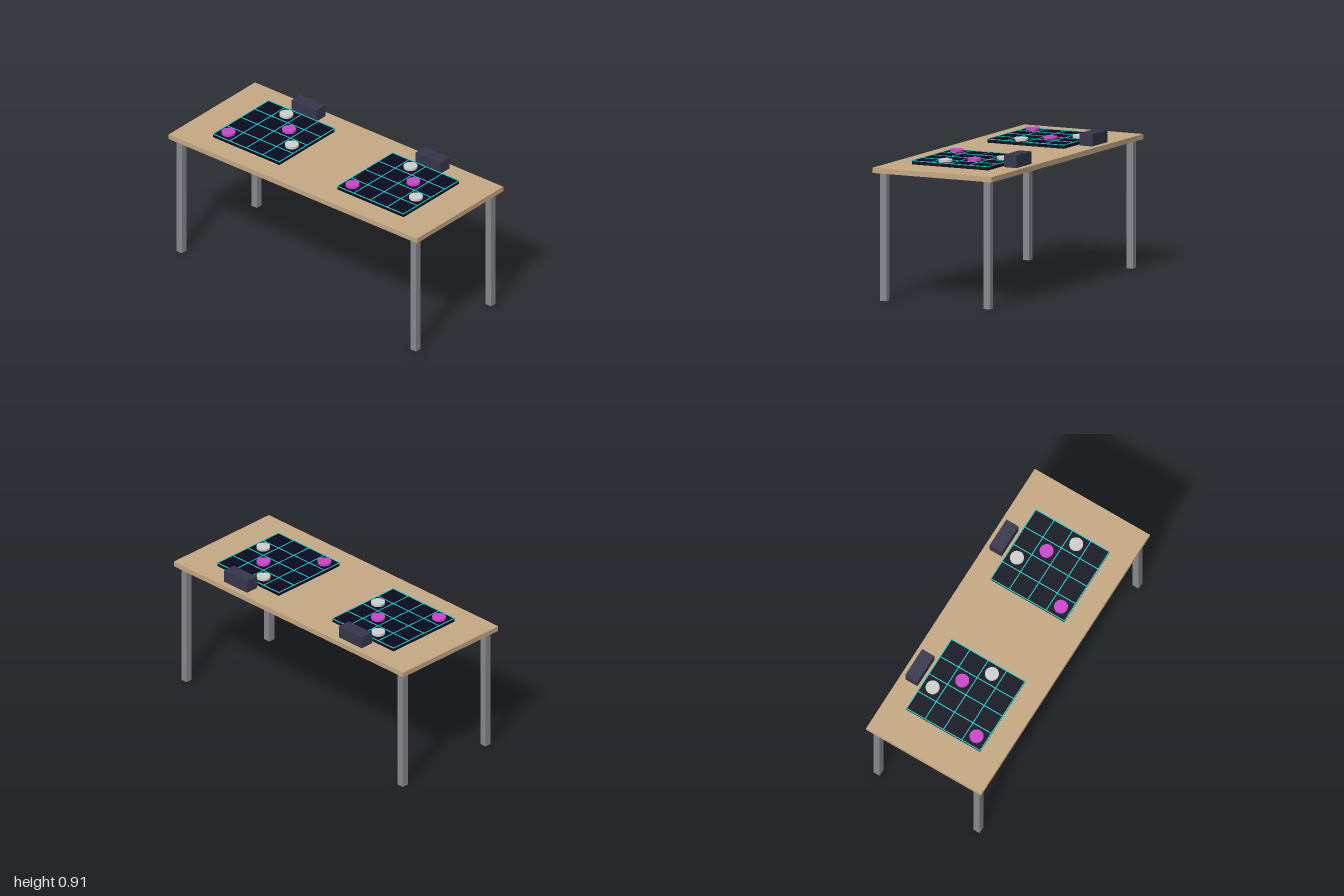
import * as THREE from 'three';

const mat = (name, color) => {
  const m = new THREE.MeshStandardMaterial({ color });
  m.name = name;
  return m;
};

export function createModel() {
  const wood = mat('wood', 0xc4a882);
  const steel = mat('steel', 0x888890);
  const navy = mat('boardNavy', 0x0a0a1e);
  const cyan = mat('gridCyan', 0x10cccc);
  const slate = mat('boxSlate', 0x36364c);
  const magenta = mat('pieceMagenta', 0xcc44cc);
  const pale = mat('piecePale', 0xcfcfcb);

  const add = (parent, name, geometry, material, x, y, z) => {
    const mesh = new THREE.Mesh(geometry, material);
    mesh.name = name;
    mesh.position.set(x, y, z);
    parent.add(mesh);
    return mesh;
  };

  const model = new THREE.Group();
  model.name = 'gameTable';

  // Table top and four square legs
  const topY = 0.835;
  add(model, 'tableTop', new THREE.BoxGeometry(2, 0.033, 0.833), wood, 0, topY - 0.0165, 0);
  const legGeo = new THREE.BoxGeometry(0.045, 0.802, 0.045);
  for (const sx of [-1, 1])
    for (const sz of [-1, 1])
      add(model, 'leg', legGeo, steel, sx * 0.943, 0.401, sz * 0.3625);

  // Shared station geometry
  const cell = 0.1333, size = cell * 4, line = 0.006;
  const boardGeo = new THREE.BoxGeometry(size, 0.022, size);
  const lineX = new THREE.BoxGeometry(size + line, 0.004, line);
  const lineZ = new THREE.BoxGeometry(line, 0.004, size + line);
  const pieceGeo = new THREE.CylinderGeometry(0.0433, 0.0433, 0.016, 20);
  const boxGeo = new THREE.BoxGeometry(0.2, 0.078, 0.088);

  // Column, row and colour of each playing piece
  const pieces = [[1, 0, pale], [2, 1, magenta], [3, 2, pale], [0, 3, magenta]];

  for (const sx of [-1, 1]) {
    const station = new THREE.Group();
    station.name = sx > 0 ? 'leftStation' : 'rightStation';
    station.position.set(sx * 0.5, topY, 0);
    model.add(station);

    add(station, 'board', boardGeo, navy, 0, 0.011, 0);
    // Raised grid lines, including the border
    for (let i = 0; i <= 4; i++) {
      const p = (i - 2) * cell;
      add(station, 'gridLineAcross', lineX, cyan, 0, 0.0228, p);
      add(station, 'gridLineDeep', lineZ, cyan, p, 0.0228, 0);
    }
    // Round pieces, one per row
    for (const [col, row, m] of pieces)
      add(station, 'playingPiece', pieceGeo, m, (col - 1.5) * cell, 0.030, (row - 1.5) * cell);
    // Control box behind the board
    add(station, 'controlBox', boxGeo, slate, 0, 0.039, -0.334);
  }
  return model;
}
